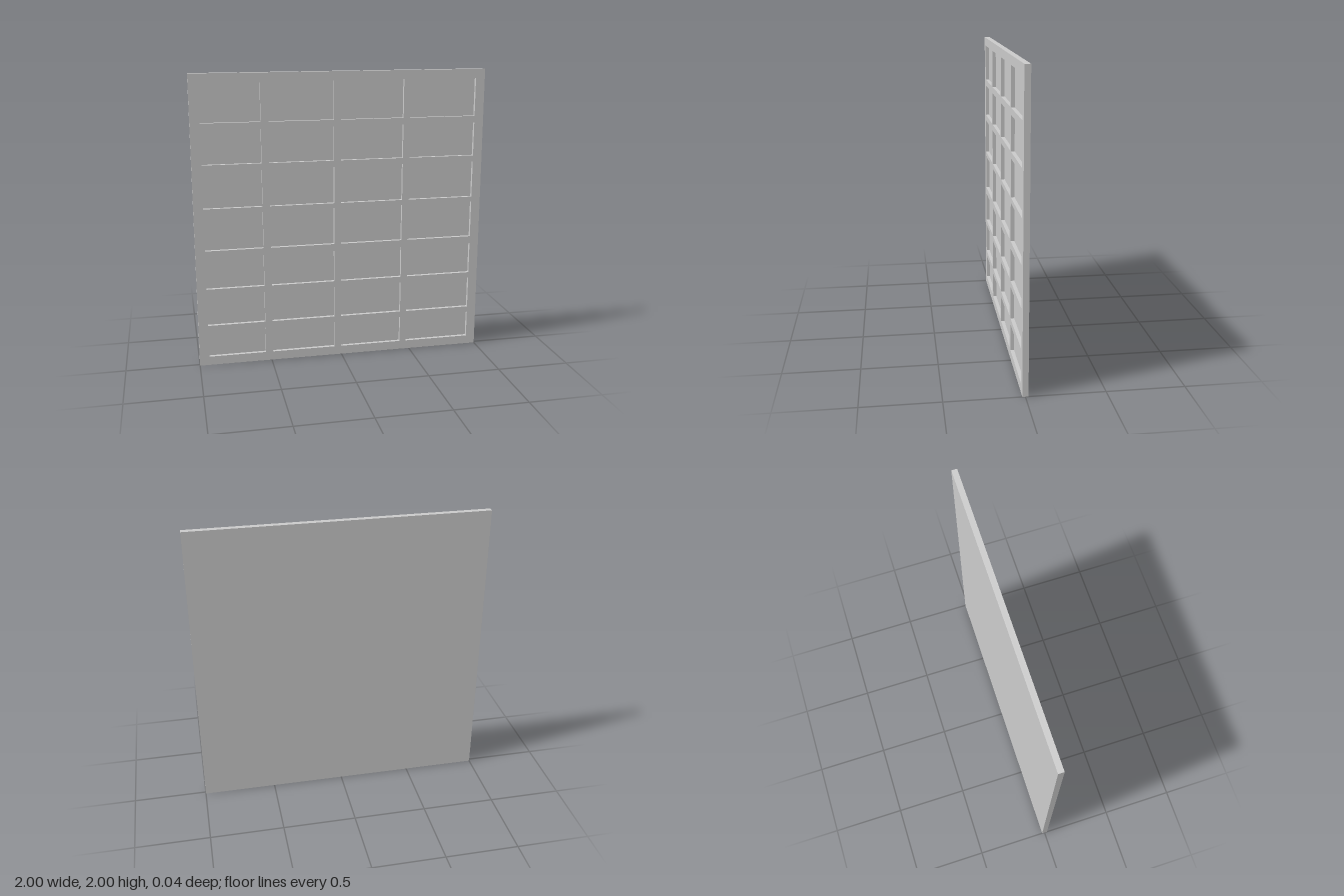
import * as THREE from 'three';

const THICKNESS = 0.038;
const RECESS = 0.024;

// Recess extents: [min, max] per column (x) and per row (y)
const COLUMNS = [[-0.935, -0.54], [-0.49, -0.05], [-0.005, 0.43], [0.476, 0.937]];
const ROWS = [
  [0.061, 0.246], [0.288, 0.508], [0.55, 0.77], [0.82, 1.075],
  [1.11, 1.362], [1.405, 1.635], [1.68, 1.94],
];

function rectangle(PathType, [x0, x1], [y0, y1]) {
  return new PathType([
    new THREE.Vector2(x0, y0), new THREE.Vector2(x1, y0),
    new THREE.Vector2(x1, y1), new THREE.Vector2(x0, y1),
  ]);
}

export function createModel() {
  const group = new THREE.Group();
  group.name = 'panelledBoard';
  const material = new THREE.MeshStandardMaterial({ color: 0xcccccc });

  // Solid backing board, whose front shows as the recess floors
  const backDepth = THICKNESS - RECESS;
  const back = new THREE.Mesh(new THREE.BoxGeometry(2, 2, backDepth), material);
  back.name = 'backBoard';
  back.position.set(0, 1, -THICKNESS / 2 + backDepth / 2);
  group.add(back);

  // Front lattice of rails and stiles with a grid of openings
  const outline = rectangle(THREE.Shape, [-1, 1], [0, 2]);
  for (const column of COLUMNS) {
    for (const row of ROWS) outline.holes.push(rectangle(THREE.Path, column, row));
  }
  const lattice = new THREE.Mesh(
    new THREE.ExtrudeGeometry(outline, { depth: RECESS, bevelEnabled: false }), material);
  lattice.name = 'frontLattice';
  lattice.position.z = THICKNESS / 2 - RECESS;
  group.add(lattice);

  return group;
}
